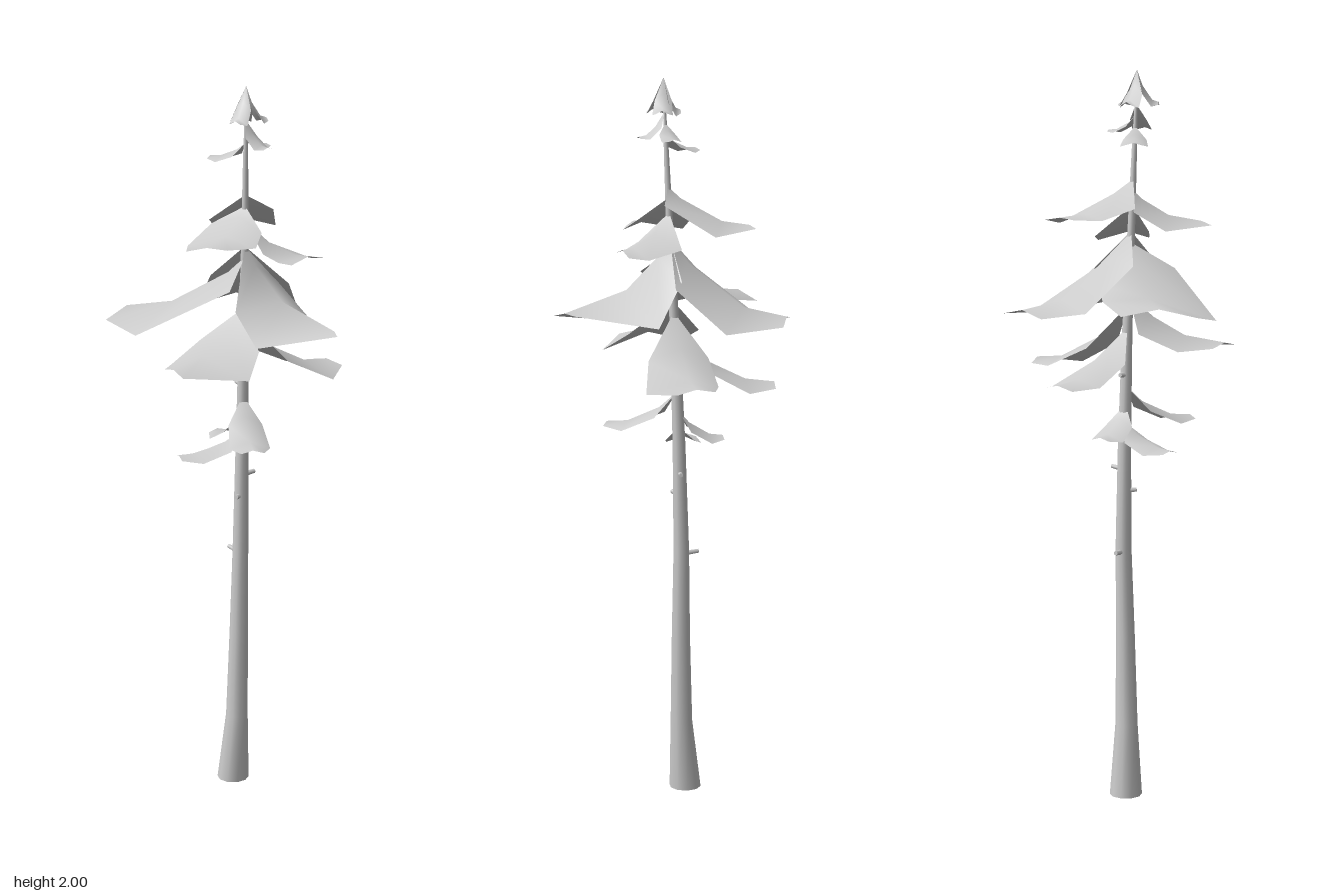
import * as THREE from 'three';

// Trunk stations: height, centre x, centre z, radius
const STATIONS = [
  [0, -0.006, -0.064, 0.045], [0.2, -0.004, -0.051, 0.031], [0.45, 0, -0.047, 0.026],
  [0.7, 0.006, -0.045, 0.022], [1.0, 0.005, -0.038, 0.018], [1.3, 0, -0.028, 0.014],
  [1.6, -0.009, -0.016, 0.01], [1.8, -0.015, -0.009, 0.007], [1.98, -0.02, -0.003, 0.002],
];

function trunkAt(y) {
  let i = 0;
  while (i < STATIONS.length - 2 && y > STATIONS[i + 1][0]) i++;
  const a = STATIONS[i], b = STATIONS[i + 1];
  const t = Math.min(1, (y - a[0]) / (b[0] - a[0]));
  return a.map((v, k) => v + (b[k] - v) * t);
}

export function createModel() {
  const model = new THREE.Group();
  const bark = new THREE.MeshStandardMaterial({ color: 0xcccccc });
  const needles = new THREE.MeshStandardMaterial({ color: 0xcccccc, side: THREE.DoubleSide });

  function add(name, geometry, material) {
    const mesh = new THREE.Mesh(geometry, material);
    mesh.name = name;
    model.add(mesh);
    return mesh;
  }

  // Bent, tapering trunk: a cylinder whose rings follow the stations
  const trunk = new THREE.CylinderGeometry(1, 1, 1, 10, STATIONS.length - 1);
  const p = trunk.attributes.position;
  for (let i = 0; i < p.count; i++) {
    const [y, cx, cz, r] = STATIONS[Math.round((p.getY(i) + 0.5) * (STATIONS.length - 1))];
    p.setXYZ(i, cx + p.getX(i) * r, y, cz + p.getZ(i) * r);
  }
  trunk.computeVertexNormals();
  add('trunk', trunk, bark);

  // Draped frond: three rows of left, ridge and right points spreading from the trunk,
  // steep at the root and levelling out towards the tip; the sides droop most near the trunk.
  // outline = x, z of left and right edge for each row, from the trunk outwards
  function frond(name, rootY, tipY, droop, outline) {
    const [, rx, rz] = trunkAt(rootY);
    const mx = (outline[8] + outline[10]) / 2 - rx, mz = (outline[9] + outline[11]) / 2 - rz;
    const len = Math.hypot(mx, mz), dx = mx / len, dz = mz / len;
    const pos = [rx, rootY, rz];
    const put = (x, z) => {
      const along = (x - rx) * dx + (z - rz) * dz;
      const side = Math.abs((x - rx) * dz - (z - rz) * dx);
      const t = THREE.MathUtils.clamp(along / len, 0, 1);
      pos.push(x, rootY + (tipY - rootY) * (1 - (1 - t) ** 2.3) - droop * (2 - t) * side, z);
    };
    for (let row = 0; row < 3; row++) {
      const [lx, lz, qx, qz] = outline.slice(row * 4, row * 4 + 4);
      put(lx, lz);
      // Ridge point lies on the centre line, level with the edge points
      const s = ((lx + qx) / 2 - rx) * dx + ((lz + qz) / 2 - rz) * dz;
      put(rx + dx * s, rz + dz * s);
      put(qx, qz);
    }
    const index = [0, 2, 1, 0, 3, 2];
    for (let row = 0; row < 2; row++) {
      for (let k = 0; k < 2; k++) {
        const a = 1 + row * 3 + k;
        index.push(a, a + 1, a + 3, a + 1, a + 4, a + 3);
      }
    }
    const g = new THREE.BufferGeometry();
    g.setAttribute('position', new THREE.Float32BufferAttribute(pos, 3));
    g.setIndex(index);
    g.computeVertexNormals();
    add(name, g, needles);
  }

  // Symmetrical small frond, given its tip and full width
  function smallFrond(name, rootY, tipY, x, z, width, droop = 0.28) {
    const [, rx, rz] = trunkAt(rootY);
    const len = Math.hypot(x - rx, z - rz);
    const dx = (x - rx) / len, dz = (z - rz) / len;
    const outline = [];
    for (const [t, w] of [[0.25, 0.42], [0.7, 0.5], [1, 0.28]]) {
      for (const s of [1, -1]) {
        outline.push(rx + dx * len * t + s * dz * w * width, rz + dz * len * t - s * dx * w * width);
      }
    }
    frond(name, rootY, tipY, droop, outline);
  }

  // Lowest sparse fronds
  smallFrond('lowFrondFrontLeft', 1.15, 1.055, -0.14, 0.115, 0.11);
  smallFrond('lowFrondBackLeft', 1.05, 0.995, -0.15, -0.135, 0.1);
  smallFrond('lowFrondBack', 1.1, 1.025, 0.04, -0.155, 0.1);

  // Lower tier
  frond('lowerFrondLeft', 1.4, 1.28, 0.22,
    [-0.07, 0.08, -0.06, -0.13, -0.16, 0.118, -0.17, -0.135, -0.297, 0.005, -0.254, -0.093]);
  frond('lowerFrondRight', 1.37, 1.21, 0.2,
    [0.1, -0.08, 0.06, 0.08, 0.22, -0.05, 0.18, 0.143, 0.281, -0.01, 0.281, 0.1]);
  frond('lowerFrondBack', 1.31, 1.18, 0.22,
    [-0.02, -0.12, 0.08, -0.07, 0.02, -0.22, 0.17, -0.17, 0.075, -0.29, 0.17, -0.25]);

  // Broad middle tier
  frond('middleFrondBackLeft', 1.54, 1.395, 0.22,
    [-0.12, 0.02, 0.05, -0.13, -0.283, -0.17, 0.02, -0.195, -0.262, -0.293, -0.065, -0.315]);
  frond('middleFrondBackRight', 1.57, 1.375, 0.2,
    [-0.04, -0.11, 0.125, 0.03, 0.055, -0.235, 0.268, -0.048, 0.157, -0.298, 0.294, -0.203]);
  frond('middleFrondFront', 1.57, 1.385, 0.4,
    [0.1, 0.0, -0.12, 0.04, 0.147, 0.09, -0.15, 0.134, 0.0, 0.268, -0.037, 0.313]);

  // Upper tier
  frond('upperFrondRight', 1.71, 1.615, 0.2,
    [-0.045, -0.11, 0.055, 0.03, 0.03, -0.16, 0.181, -0.059, 0.1, -0.183, 0.183, -0.178]);
  frond('upperFrondLeft', 1.68, 1.6, 0.2,
    [-0.04, 0.065, -0.04, -0.105, -0.09, 0.085, -0.13, -0.114, -0.16, 0.045, -0.235, -0.032]);
  frond('upperFrondFront', 1.64, 1.555, 0.25,
    [0.1, 0.0, -0.035, 0.066, 0.122, 0.107, -0.025, 0.11, 0.113, 0.161, -0.012, 0.143]);

  // Small fronds near the top
  smallFrond('topFrondBack', 1.85, 1.81, -0.04, -0.108, 0.075);
  smallFrond('topFrondRight', 1.88, 1.84, 0.06, 0.003, 0.055);
  smallFrond('topFrondFront', 1.91, 1.845, -0.022, 0.07, 0.055);

  // Crown: steep leaves meeting at the tip
  smallFrond('crownFrondLeft', 2.0, 1.915, -0.078, 0.006, 0.055, 0.5);
  smallFrond('crownFrondRight', 2.0, 1.915, 0.03, 0.025, 0.055, 0.5);
  smallFrond('crownFrondBack', 2.0, 1.915, -0.002, -0.045, 0.065, 0.5);

  // Broken branch stubs: height, direction in degrees (0 = +x, 90 = +z), length
  for (const [y, degrees, length] of [[0.92, 20, 0.042], [0.86, 165, 0.035], [0.69, -80, 0.05], [1.18, -75, 0.032]]) {
    const [, cx, cz] = trunkAt(y);
    const stub = add('branchStub', new THREE.CylinderGeometry(0.006, 0.008, length, 6), bark);
    const a = THREE.MathUtils.degToRad(degrees);
    const dir = new THREE.Vector3(Math.cos(a), 0.1, Math.sin(a)).normalize();
    stub.quaternion.setFromUnitVectors(new THREE.Vector3(0, 1, 0), dir);
    stub.position.set(cx, y, cz).addScaledVector(dir, length / 2);
  }

  return model;
}
